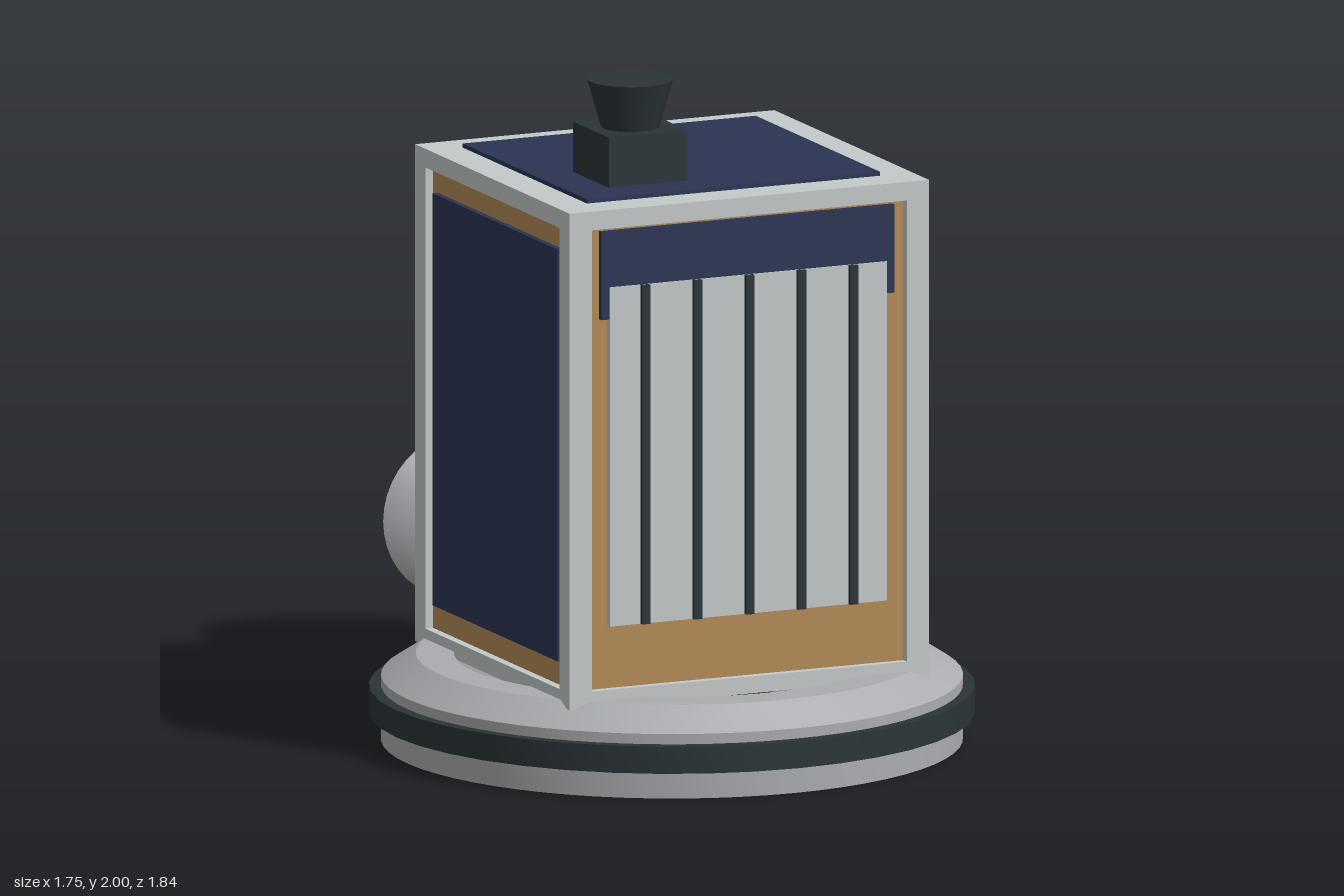
import * as THREE from 'three';
import { toCreasedNormals } from 'three/addons/utils/BufferGeometryUtils.js';

const mat = (name, color, side = THREE.FrontSide) => {
  const m = new THREE.MeshStandardMaterial({ color, side });
  m.name = name;
  return m;
};

export function createModel() {
  const model = new THREE.Group();
  const lightGrey = mat('lightGrey', 0xc4cac9);
  const metal = mat('metalGrey', 0xabacb0, THREE.DoubleSide);
  const foil = mat('goldFoil', 0xb58b57);
  const navy = mat('navyPanel', 0x2b3454);
  const dark = mat('darkTrim', 0x2b3438, THREE.DoubleSide);

  const CZ = 0.045; // centre of the body and base in z
  const HX = 0.57, HZ = 0.535, BOTTOM = 0.235, TOP = 1.7;

  const add = (name, geo, material, x = 0, y = 0, z = 0) => {
    const mesh = new THREE.Mesh(geo, material);
    mesh.name = name;
    mesh.position.set(x, y, z);
    model.add(mesh);
    return mesh;
  };
  // box given by its lowest and highest corner
  const box = (name, material, [x0, y0, z0], [x1, y1, z1]) =>
    add(name, new THREE.BoxGeometry(x1 - x0, y1 - y0, z1 - z0), material,
      (x0 + x1) / 2, (y0 + y1) / 2, (z0 + z1) / 2);
  // cylinder pointing backwards from zFront to zBack
  const backTube = (name, material, rFront, rBack, zFront, zBack, x, y, segs, open = false) => {
    const geo = new THREE.CylinderGeometry(rBack, rFront, zFront - zBack, segs, 1, open);
    geo.rotateX(-Math.PI / 2);
    return add(name, geo, material, x, y, (zFront + zBack) / 2);
  };
  const lathe = (pts, segs) =>
    new THREE.LatheGeometry(pts.map(([r, y]) => new THREE.Vector2(r, y)), segs);

  // base ring with bevelled top and shallow recess underneath
  const ring = lathe([[0.63, 0.02], [0.82, 0.02], [0.82, 0], [0.84, 0], [0.84, 0.19],
    [0.74, 0.255], [0.63, 0.255], [0.63, 0.02]], 64);
  add('baseRing', toCreasedNormals(ring, 0.5), metal, 0, 0, CZ);
  const band = lathe([[0.835, 0.08], [0.875, 0.08], [0.875, 0.16], [0.835, 0.16]], 40);
  add('baseBand', toCreasedNormals(band, 0.5), dark, 0, 0, CZ);

  // foil core inside a light frame
  box('bodyCore', foil, [-HX + 0.025, BOTTOM + 0.02, CZ - HZ + 0.025],
    [HX - 0.025, TOP - 0.02, CZ + HZ - 0.025]);
  box('frameTop', lightGrey, [-HX, 1.645, CZ - HZ], [HX, TOP, CZ + HZ]);
  box('frameBottom', lightGrey, [-HX, BOTTOM, CZ - HZ], [HX, 0.285, CZ + HZ]);
  for (const sx of [-1, 1]) {
    for (const sz of [-1, 1]) {
      add('framePost', new THREE.BoxGeometry(0.07, 1.36, 0.07), lightGrey,
        sx * (HX - 0.035), 0.965, CZ + sz * (HZ - 0.035));
    }
    // side panels
    add('sidePanel', new THREE.BoxGeometry(0.02, 1.215, 0.865), navy, sx * 0.552, 0.967, CZ);
  }
  box('topPanel', navy, [-0.465, TOP - 0.005, -0.39], [0.465, 1.712, 0.47]);

  // front radiator with dark ribs, below a navy header
  box('frontHeader', navy, [-0.465, 1.375, 0.545], [0.465, 1.635, 0.571]);
  box('radiator', lightGrey, [-0.44, 0.47, 0.545], [0.44, 1.47, 0.575]);
  for (let i = -2; i <= 2; i++) {
    box('radiatorRib', dark, [i * 0.165 - 0.0125, 0.47, 0.57], [i * 0.165 + 0.0125, 1.47, 0.588]);
  }

  // rear telescope with an open flared shade
  backTube('telescopeBarrel', lightGrey, 0.267, 0.267, -0.46, -0.795, 0.14, 1.11, 48);
  backTube('telescopeShade', dark, 0.268, 0.32, -0.793, -0.92, 0.14, 1.11, 48, true);

  // rear dish antenna, opening backwards
  const DX = -0.345, DY = 0.555;
  const R = 0.4, capAngle = Math.asin(0.245 / R);
  const bowl = [];
  for (let i = 0; i <= 10; i++) {
    const a = capAngle * i / 10;
    bowl.push([R * Math.sin(a), R * (1 - Math.cos(a))]);
  }
  const dish = lathe(bowl, 40);
  dish.rotateX(-Math.PI / 2);
  add('dish', dish, metal, DX, DY, -0.584);
  backTube('dishStem', metal, 0.043, 0.043, -0.46, -0.665, DX, DY, 20);
  backTube('dishFeed', metal, 0.018, 0.018, -0.66, -0.83, DX, DY, 16);

  // sensor on the roof
  box('sensorBox', dark, [-0.34, 1.705, 0.1], [-0.09, 1.86, 0.35]);
  add('sensorHorn', new THREE.CylinderGeometry(0.125, 0.085, 0.14, 32), dark, -0.215, 1.93, 0.225);

  return model;
}
